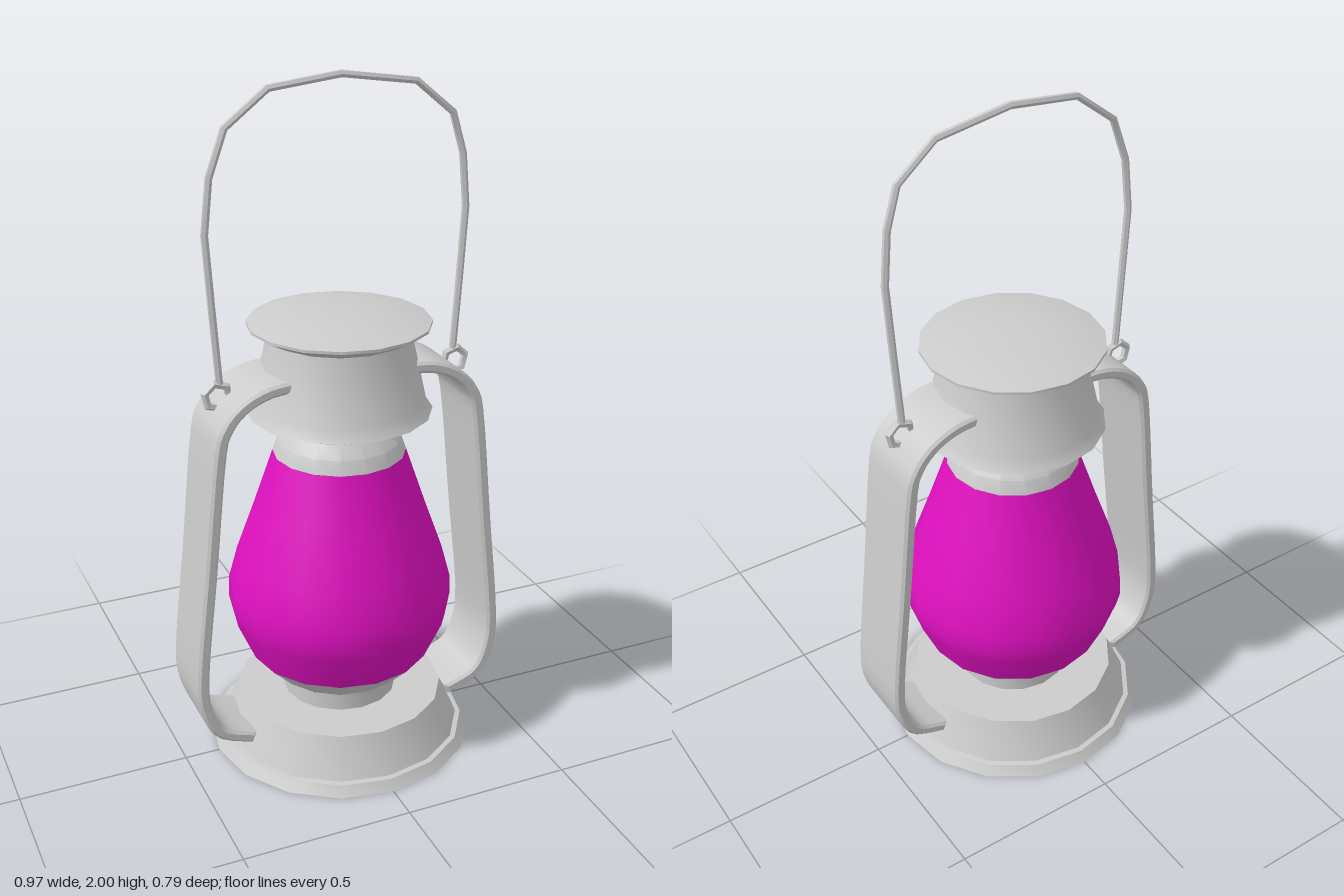
import * as THREE from 'three';
import { toCreasedNormals } from 'three/addons/utils/BufferGeometryUtils.js';

const SIDES = 16;
const metal = new THREE.MeshStandardMaterial({ color: 0xcccccc });
const glass = new THREE.MeshStandardMaterial({ color: 0xe010c0 });

function part(name, geometry, material = metal) {
  const mesh = new THREE.Mesh(toCreasedNormals(geometry, 0.5), material);
  mesh.name = name;
  return mesh;
}

// Turned part from [radius, height] pairs, listed from bottom to top
function turned(name, profile, material) {
  const points = profile.map(([r, y]) => new THREE.Vector2(r, y));
  return part(name, new THREE.LatheGeometry(points, SIDES), material);
}

// Flat strap: a centre line thickened in the xy plane, extruded along z with chamfered edges
function strapGeometry(path, thickness, width, bevel) {
  const curve = new THREE.SplineCurve(path.map(([x, y]) => new THREE.Vector2(x, y)));
  const outer = [], inner = [], steps = 30;
  for (let i = 0; i <= steps; i++) {
    const p = curve.getPoint(i / steps), t = curve.getTangent(i / steps);
    const n = new THREE.Vector2(-t.y, t.x).multiplyScalar(thickness / 2 - bevel);
    outer.push(p.clone().add(n));
    inner.unshift(p.clone().sub(n));
  }
  const depth = width - 2 * bevel;
  return new THREE.ExtrudeGeometry(new THREE.Shape([...outer, ...inner]), {
    depth, bevelEnabled: true, bevelSegments: 1, bevelSize: bevel, bevelThickness: bevel,
  }).translate(0, 0, -depth / 2);
}

// Wire bent at each given point
function wireGeometry(path, radius) {
  const curve = new THREE.CatmullRomCurve3(path.map((p) => new THREE.Vector3(...p)));
  curve.getPointAt = curve.getPoint;
  curve.getTangentAt = curve.getTangent;
  return new THREE.TubeGeometry(curve, path.length - 1, radius, 6);
}

export function createModel() {
  const lantern = new THREE.Group();
  lantern.name = 'lantern';

  // Turned body
  lantern.add(
    turned('base', [[0, 0], [0.395, 0], [0.375, 0.03], [0.36, 0.032], [0.308, 0.15], [0, 0.15]]),
    turned('burner', [[0.17, 0.14], [0.17, 0.22], [0.2, 0.222], [0.27, 0.292], [0, 0.292]]),
    turned('globe', [[0.27, 0.292], [0.322, 0.41], [0.331, 0.45], [0.329, 0.51],
      [0.302, 0.61], [0.25, 0.755], [0.192, 0.925]], glass),
    turned('globeCollar', [[0, 0.925], [0.192, 0.925], [0.178, 0.965], [0.147, 1.0], [0.147, 1.07]]),
    turned('hood', [[0, 1.053], [0.265, 1.053], [0.245, 1.085], [0.202, 1.28], [0, 1.28]]),
    turned('cap', [[0, 1.275], [0.2, 1.275], [0.26, 1.307], [0.26, 1.315],
      [0.19, 1.332], [0.1, 1.341], [0, 1.344]]),
  );

  // Side straps and the eyelets that hold the handle
  const strapPath = [[0.18, 1.18], [0.25, 1.172], [0.32, 1.14], [0.37, 1.085], [0.395, 1.0],
    [0.43, 0.67], [0.467, 0.33], [0.458, 0.21], [0.417, 0.13], [0.325, 0.093]];
  for (const [side, s] of [['left', 1], ['right', -1]]) {
    const path = strapPath.map(([x, y]) => [s * x, y]);
    if (s < 0) path.reverse();
    lantern.add(part(side + 'Strap', strapGeometry(path, 0.034, 0.222, 0.008)));

    const eyelet = part(side + 'Eyelet', new THREE.TorusGeometry(0.037, 0.012, 5, 6));
    eyelet.position.set(s * 0.363, 1.145, 0);
    eyelet.rotation.z = s * 0.3;
    lantern.add(eyelet);
  }

  // Wire carrying handle
  lantern.add(part('handle', wireGeometry([
    [-0.355, 1.175, 0], [-0.372, 1.4, 0.006], [-0.386, 1.6, 0.01], [-0.37, 1.75, 0.012],
    [-0.325, 1.875, 0.014], [-0.205, 1.967, 0.014], [0, 1.99, 0.012], [0.22, 1.957, 0.01],
    [0.332, 1.865, 0.008], [0.367, 1.75, 0.007], [0.381, 1.6, 0.006], [0.37, 1.4, 0.004],
    [0.357, 1.175, 0],
  ], 0.0105)));

  return lantern;
}
